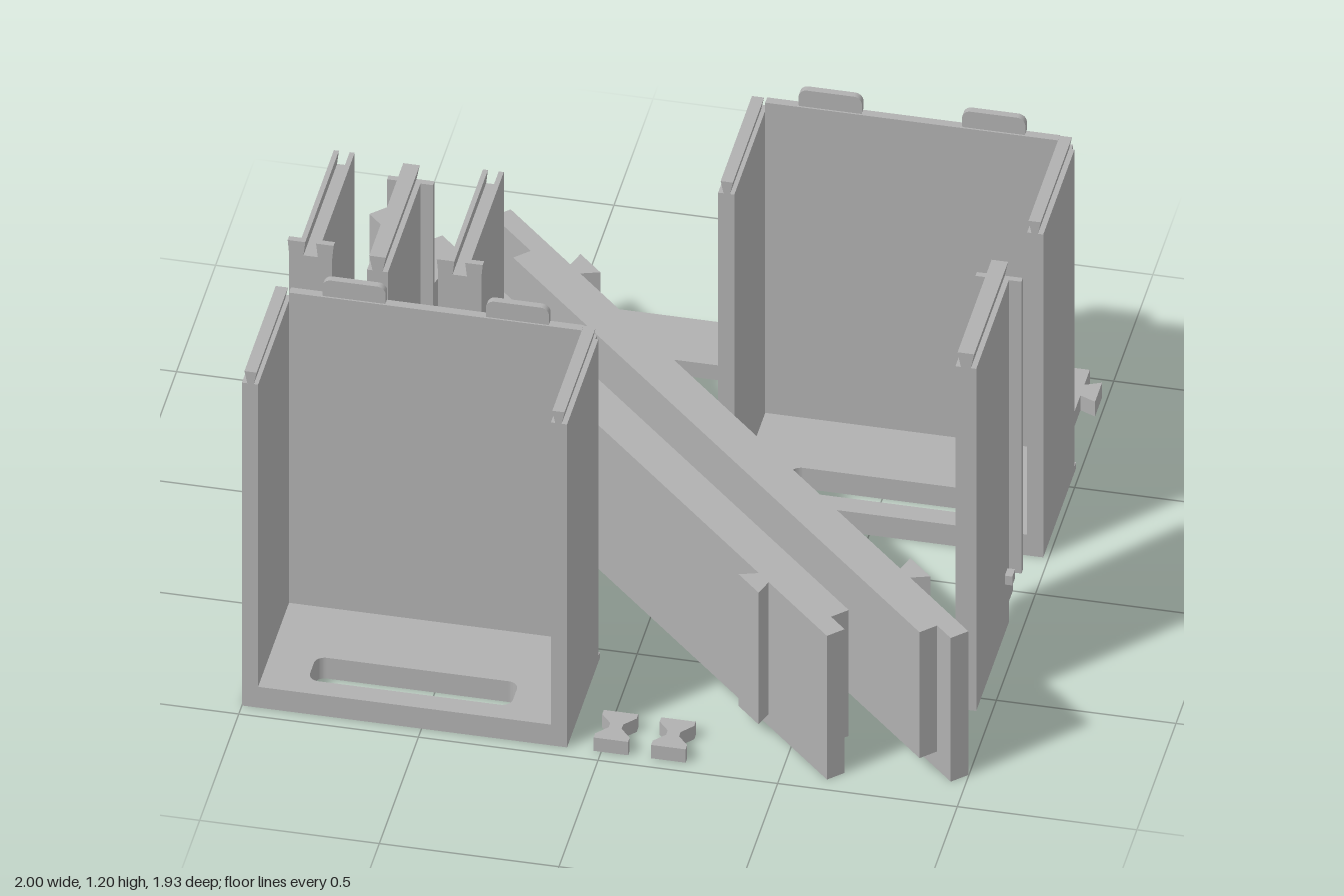
import * as THREE from 'three';

const grey = new THREE.MeshStandardMaterial({ color: 0xb0b0b0 });
grey.name = 'plain grey';

function add(parent, name, geometry) {
  const mesh = new THREE.Mesh(geometry, grey);
  mesh.name = name;
  parent.add(mesh);
  return mesh;
}

// Box given by its limits on each axis
function block(parent, name, x0, x1, y0, y1, z0, z1) {
  const g = new THREE.BoxGeometry(x1 - x0, y1 - y0, z1 - z0);
  g.translate((x0 + x1) / 2, (y0 + y1) / 2, (z0 + z1) / 2);
  return add(parent, name, g);
}

const outline = (pts) => new THREE.Shape(pts.map(([x, y]) => new THREE.Vector2(x, y)));

// Profile in x and z, raised from y0 to y1
function raised(parent, name, shape, y0, y1) {
  const g = new THREE.ExtrudeGeometry(shape, { depth: y1 - y0, bevelEnabled: false, curveSegments: 6 });
  g.rotateX(-Math.PI / 2).translate(0, y0, 0);
  return add(parent, name, g);
}

// Profile in x and y, run from z0 to z1
function run(parent, name, shape, z0, z1) {
  const g = new THREE.ExtrudeGeometry(shape, { depth: z1 - z0, bevelEnabled: false, curveSegments: 6 });
  g.translate(0, 0, z0);
  return add(parent, name, g);
}

function rounded(path, x0, x1, y0, y1, r) {
  path.moveTo(x0 + r, y0);
  path.lineTo(x1 - r, y0);
  path.absarc(x1 - r, y0 + r, r, -Math.PI / 2, 0);
  path.absarc(x1 - r, y1 - r, r, 0, Math.PI / 2);
  path.absarc(x0 + r, y1 - r, r, Math.PI / 2, Math.PI);
  path.absarc(x0 + r, y0 + r, r, Math.PI, Math.PI * 1.5);
  return path;
}

// Dovetail rail that widens upwards
const dovetail = (x, y0, y1, low, high) =>
  outline([[x - low, y0], [x + low, y0], [x + high, y1], [x - high, y1]]);

// Open-fronted bin with a slotted floor; origin at its back left corner
function bin(name, x, z) {
  const g = new THREE.Group();
  g.name = name;
  g.position.set(x, 0, z);
  const w = 0.905, d = 0.42, t = 0.045;

  const floor = outline([[0, -0.02], [w, -0.02], [w, -d], [0, -d]]);
  floor.holes.push(rounded(new THREE.Path(), 0.17, 0.735, -0.36, -0.25, 0.03));
  raised(g, 'floor', floor, 0, 0.07);

  for (const s of [0, 1]) {
    const x0 = s ? w - t : 0;
    block(g, 'sideWall', x0, x0 + t, 0.07, 1.09, 0.02, d);
    run(g, 'sideRail', dovetail(s ? w - 0.024 : 0.024, 1.09, 1.13, 0.009, 0.017), 0.02, d);
  }

  // Back plate with a raised middle and two rounded tabs
  run(g, 'backPlate', outline([[0.008, 0.025], [w - 0.008, 0.025], [w - 0.008, 1.09], [w - t, 1.09],
    [w - t, 1.117], [t, 1.117], [t, 1.09], [0.008, 1.09]]), 0, 0.025);
  block(g, 'backLip', 0, w, 0, 0.02, 0, 0.025);
  for (const c of [0.225, 0.68]) {
    run(g, 'backTab', rounded(new THREE.Shape(), c - 0.088, c + 0.088, 1.1, 1.172, 0.024), 0, 0.02);
  }
  return g;
}

// Upright divider: a board with a cross flange and lug at one end.
// dir is the z direction from the flange towards the far end.
function divider(name, x, zFlange, dir, grooved) {
  const g = new THREE.Group();
  g.name = name;
  g.position.set(x, 0, zFlange);
  const span = (a, b) => (dir > 0 ? [a, b] : [-b, -a]);
  const top = 1.155, h = 0.029;

  if (grooved) {
    const cut = (half) => outline([[-half, 0], [half, 0], [half, top], [0.015, top], [0.02, 1.11],
      [-0.02, 1.11], [-0.015, top], [-half, top]]);
    run(g, 'board', cut(h), ...span(0.018, 0.43));
    const flange = outline([[-0.06, 0.17], [0.06, 0.17], [0.06, 1.11], [0.064, top], [0.015, top],
      [0.02, 1.11], [-0.02, 1.11], [-0.015, top], [-0.064, top], [-0.06, 1.11]]);
    run(g, 'flange', flange, ...span(0, 0.018));
  } else {
    block(g, 'board', -h, h, 0, top, ...span(0.018, 0.435));
    run(g, 'topRail', dovetail(0, top, 1.203, 0.014, 0.023), ...span(0, 0.435));
    block(g, 'flange', -0.064, 0.064, 0.17, top, ...span(0, 0.018));
    block(g, 'peg', -0.05, 0.05, 0.165, 0.195, ...span(0.035, 0.07));
  }
  block(g, 'lugRoot', -h, h, 0.07, 0.17, ...span(0, 0.018));
  block(g, 'lug', -h, h, 0.07, 0.17, ...span(-0.034, 0));
  return g;
}

// Long diagonal panel; side is the direction of its outer face
function panel(name, start, inner, side) {
  const g = new THREE.Group();
  g.name = name;
  g.rotation.y = -Math.PI / 4;
  const span = (a, b) => (side > 0 ? [inner + a, inner + b] : [inner - b, inner - a]);
  block(g, 'innerLayer', start + 0.19, start + 2.235, 0.06, 0.485, ...span(0, 0.057));
  block(g, 'outerLayer', start, start + 2.303, 0, 0.485, ...span(0.057, 0.114));
  for (const c of [0.325, 1.985]) {
    const s = start + c;
    const near = -(inner + side * 0.114), far = -(inner + side * 0.163);
    raised(g, 'dovetailRib', outline([[s - 0.025, near], [s + 0.025, near], [s + 0.05, far], [s - 0.05, far]]), 0.04, 0.485);
  }
  return g;
}

// Double dovetail key
function key(parent, x) {
  const z = 0.895, right = [[0.048, 0.065], [0.048, 0.045], [0.018, 0.01], [0.018, -0.01], [0.048, -0.045], [0.048, -0.065]];
  const pts = [...right, ...right.map(([a, b]) => [-a, -b])];
  raised(parent, 'joiningKey', outline(pts.map(([a, b]) => [x + a, b - z])), 0, 0.045);
}

export function createModel() {
  const model = new THREE.Group();
  model.name = 'storageKit';

  model.add(bin('frontBin', -1, 0.54));
  model.add(bin('rearBin', 0.08, -0.588));

  model.add(divider('groovedDividerOuter', -0.935, 0.38, -1, true));
  model.add(divider('groovedDividerInner', -0.52, 0.38, -1, true));
  model.add(divider('railDividerRight', -0.73, 0.032, 1, false));
  model.add(divider('railDividerLeft', 0.928, 0.125, 1, false));

  model.add(panel('diagonalPanelFront', -1.185, 0.117, 1));
  model.add(panel('diagonalPanelRear', -0.995, 0.01, -1));

  // Flat crossbar with a corner notch, a slot and a dovetail end
  const bar = outline([[-0.535, 0.775], [0.94, 0.775], [0.94, 0.85], [0.985, 0.83], [0.985, 0.92],
    [0.94, 0.9], [0.94, 0.97], [-0.49, 0.97], [-0.49, 0.935], [-0.535, 0.935]]);
  bar.holes.push(rounded(new THREE.Path(), 0.43, 0.482, 0.835, 0.94, 0.012));
  raised(model, 'crossbar', bar, 0, 0.05);

  key(model, 0.027);
  key(model, 0.187);
  return model;
}
